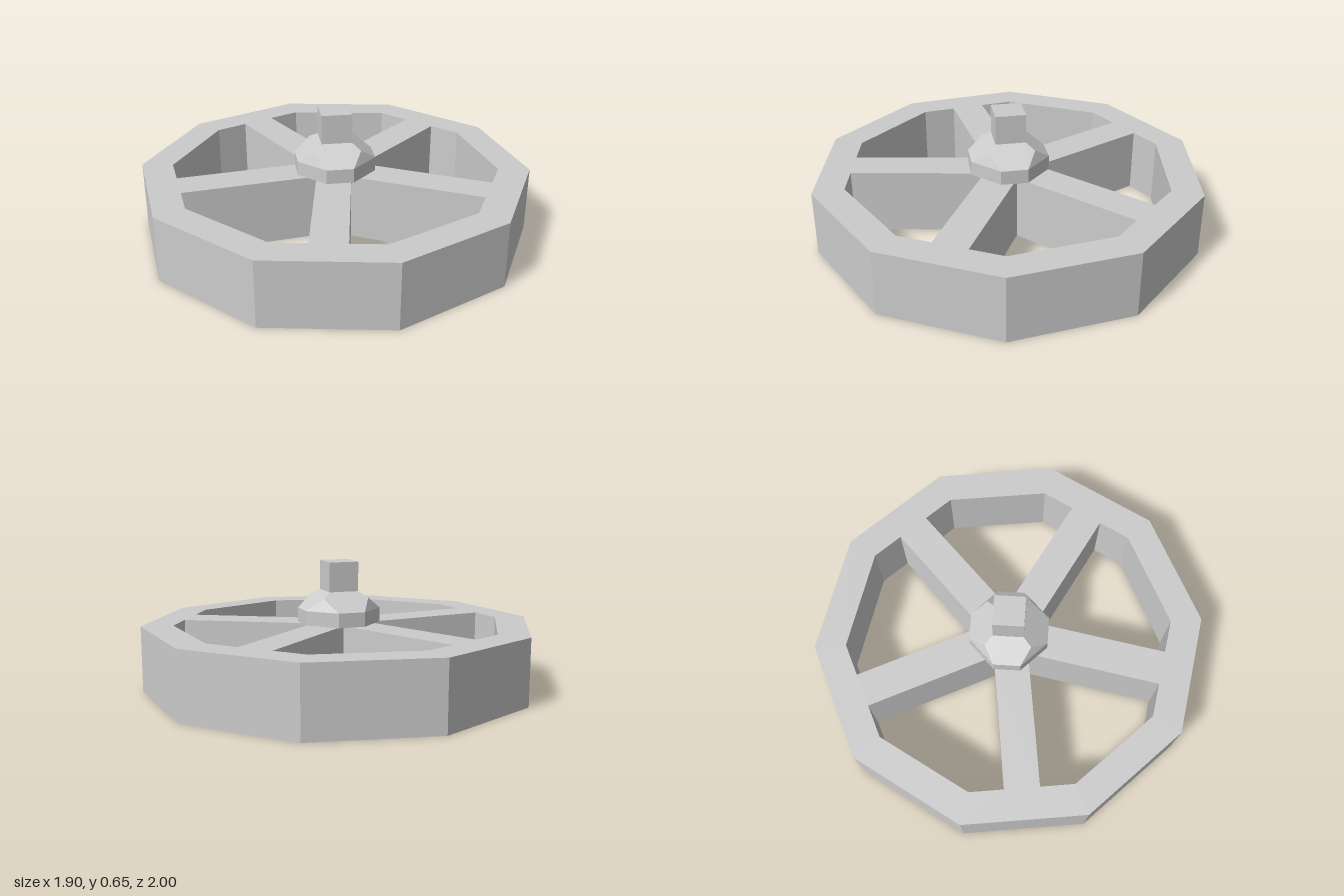
import * as THREE from 'three';
import { ConvexGeometry } from 'three/addons/geometries/ConvexGeometry.js';

const rad = THREE.MathUtils.degToRad;
const polar = (r, deg) => new THREE.Vector2(r * Math.cos(rad(deg)), r * Math.sin(rad(deg)));

export function createModel() {
  const group = new THREE.Group();
  const material = new THREE.MeshStandardMaterial({ color: 0xcccccc, flatShading: true });
  const add = (name, geometry) => {
    const mesh = new THREE.Mesh(geometry, material);
    mesh.name = name;
    group.add(mesh);
    return mesh;
  };

  // Ten-sided rim and five spokes, cut from one slab
  const bottom = 0.003, top = 0.337;
  const innerRadius = 0.84, halfSpoke = 0.0875;
  const apothem = innerRadius * Math.cos(rad(18));
  const outline = new THREE.Shape();
  outline.setFromPoints(Array.from({ length: 10 }, (_, i) => polar(1, 18 + 36 * i)));
  const origin = new THREE.Vector2();
  for (let i = 0; i < 5; i++) {
    const window = [
      polar(halfSpoke / Math.sin(rad(36)), 36),
      new THREE.Vector2(apothem, halfSpoke),
      polar(innerRadius, 18),
      polar(innerRadius, 54),
      new THREE.Vector2(apothem, -halfSpoke).rotateAround(origin, rad(72)),
    ].map((p) => p.rotateAround(origin, rad(72 * i)));
    outline.holes.push(new THREE.Path(window.reverse()));
  }
  const wheel = new THREE.ExtrudeGeometry(outline, { depth: top - bottom, bevelEnabled: false });
  wheel.rotateX(-Math.PI / 2);
  wheel.translate(0, bottom, 0);
  add('spokedWheel', wheel);

  // Faceted hub cap: eight-sided collar, four ridge points and a square top
  const turn = 17, postRadius = 0.109;
  const points = [];
  const put = (r, deg, y) => {
    const p = polar(r, deg);
    points.push(new THREE.Vector3(p.x, y, p.y));
  };
  for (let i = 0; i < 4; i++) {
    const angle = turn + 90 * i;
    for (const side of [-26, 26]) {
      put(0.21, angle + side, top);
      put(0.21, angle + side, 0.41);
    }
    put(0.165, angle, 0.47);
    put(postRadius, angle, 0.5);
  }
  add('hubCap', new ConvexGeometry(points));

  // Square axle stub
  const width = postRadius * Math.SQRT2;
  const post = add('axleStub', new THREE.BoxGeometry(width, 0.16, width));
  post.position.y = 0.57;
  post.rotation.y = rad(45 - turn);

  return group;
}
